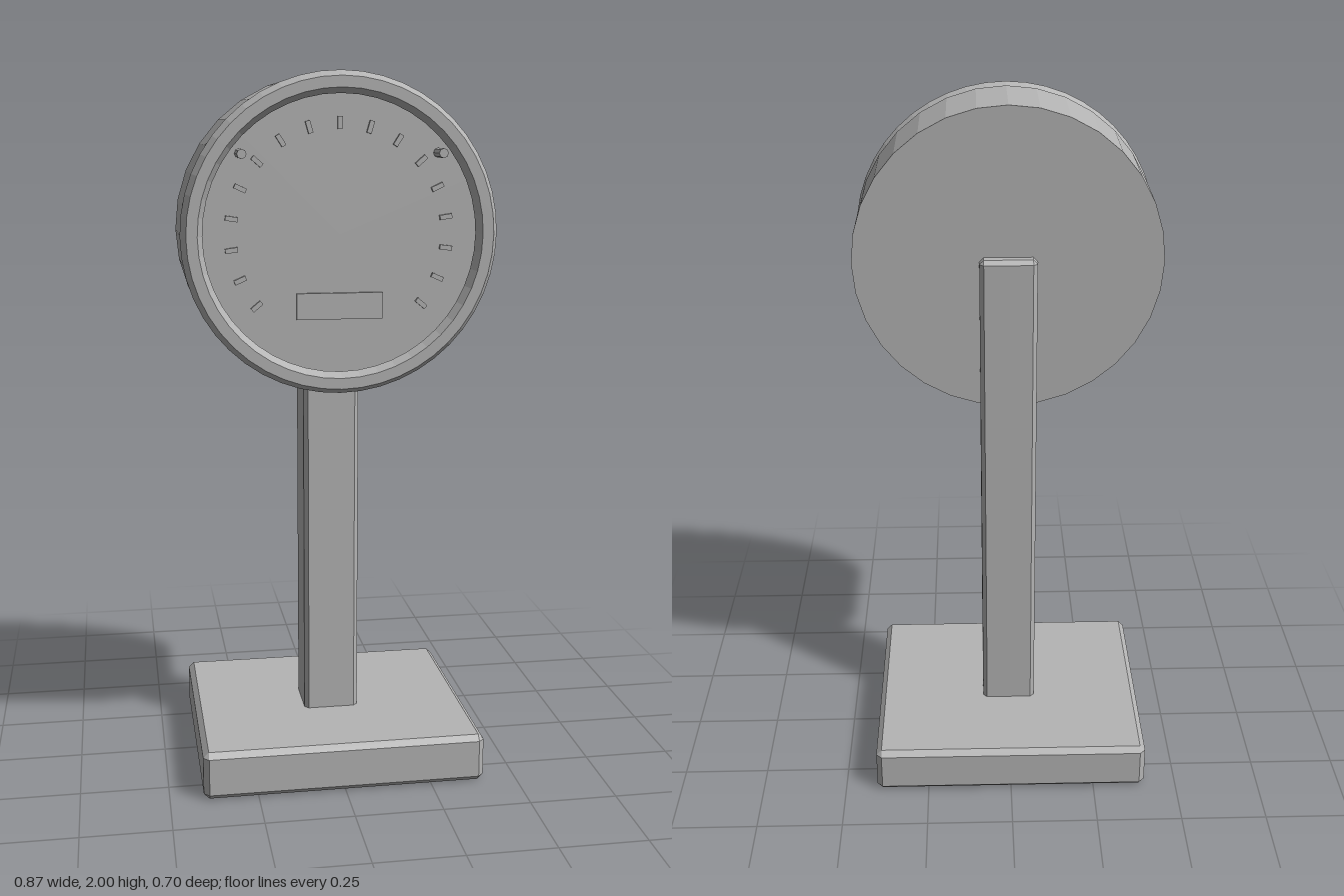
import * as THREE from 'three';
import { ConvexGeometry } from 'three/addons/geometries/ConvexGeometry.js';

const DIAL_Y = 1.57;
const FACE_Z = 0.215;

// Box with every edge cut by a small chamfer
function chamferBox(w, h, d, c) {
  const pts = [];
  const [x, y, z] = [w / 2, h / 2, d / 2];
  for (const sx of [-1, 1]) for (const sy of [-1, 1]) for (const sz of [-1, 1]) {
    pts.push(new THREE.Vector3(sx * x, sy * (y - c), sz * (z - c)));
    pts.push(new THREE.Vector3(sx * (x - c), sy * y, sz * (z - c)));
    pts.push(new THREE.Vector3(sx * (x - c), sy * (y - c), sz * z));
  }
  return new ConvexGeometry(pts);
}

// Cylinder lying along z between two depths
function zCylinder(r, z0, z1, sides) {
  return new THREE.CylinderGeometry(r, r, z1 - z0, sides)
    .rotateX(Math.PI / 2)
    .translate(0, 0, (z0 + z1) / 2);
}

export function createModel() {
  const model = new THREE.Group();
  model.name = 'dialOnStand';
  const grey = new THREE.MeshStandardMaterial({ color: 0xb4b4b4, flatShading: true });
  grey.name = 'grey';

  const add = (parent, name, geometry, x = 0, y = 0, z = 0) => {
    const mesh = new THREE.Mesh(geometry, grey);
    mesh.name = name;
    mesh.position.set(x, y, z);
    parent.add(mesh);
    return mesh;
  };

  // Stand
  add(model, 'base', chamferBox(0.81, 0.14, 0.704, 0.016), 0, 0.07, 0);
  add(model, 'post', chamferBox(0.16, 1.46, 0.16, 0.012), 0, 0.855, 0);

  // Round head
  const head = new THREE.Group();
  head.name = 'head';
  head.position.y = DIAL_Y;
  model.add(head);
  add(head, 'housing', zCylinder(0.43, -0.045, 0.194, 32));
  add(head, 'dialFace', zCylinder(0.384, 0.19, FACE_Z, 48));
  add(head, 'bezel', new THREE.TorusGeometry(0.403, 0.03, 6, 48), 0, 0, 0.237);

  // Scale marks, fanned symmetrically about the top
  const marks = new THREE.Group();
  marks.name = 'scaleMarks';
  head.add(marks);
  const markGeometry = new THREE.BoxGeometry(0.013, 0.034, 0.012);
  for (let i = -8; i <= 8; i++) {
    const a = THREE.MathUtils.degToRad(i * 16.25);
    const mark = add(marks, 'scaleMark', markGeometry,
      Math.sin(a) * 0.297, Math.cos(a) * 0.297, FACE_Z + 0.004);
    mark.rotation.z = -a;
  }

  // Readout window and the two small pins
  add(head, 'readout', new THREE.BoxGeometry(0.238, 0.072, 0.012), 0, -0.194, FACE_Z + 0.004);
  for (const side of [-1, 1]) {
    add(head, side > 0 ? 'leftPin' : 'rightPin',
      zCylinder(0.013, FACE_Z - 0.005, 0.284, 8), side * 0.27, 0.217, 0);
  }
  return model;
}
